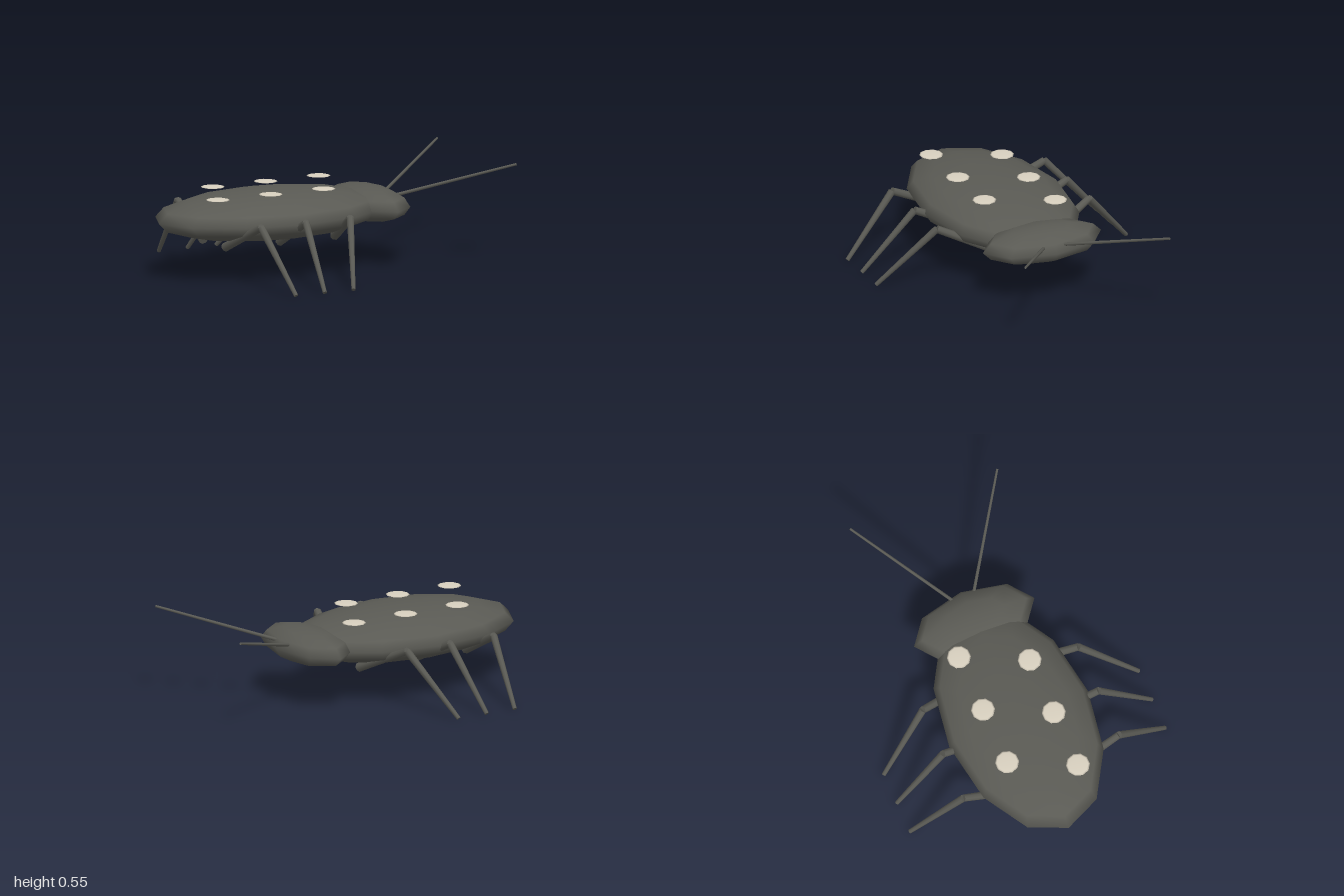
import * as THREE from 'three';

const shell = new THREE.MeshStandardMaterial({ color: 0x5a5a54 });
shell.name = 'charcoal shell';
const cream = new THREE.MeshStandardMaterial({ color: 0xd8d0bf });
cream.name = 'cream spots';

// Ellipsoid from a coarse smooth sphere
function ellipsoid(name, material, center, radii, around, rows) {
  const mesh = new THREE.Mesh(new THREE.SphereGeometry(1, around, rows), material);
  mesh.name = name;
  mesh.scale.set(...radii);
  mesh.position.set(...center);
  return mesh;
}

// Tapered rod between two points
function rod(name, from, to, rFrom, rTo, sides) {
  const a = new THREE.Vector3(...from);
  const b = new THREE.Vector3(...to);
  const dir = b.clone().sub(a);
  const mesh = new THREE.Mesh(new THREE.CylinderGeometry(rTo, rFrom, dir.length(), sides), shell);
  mesh.name = name;
  mesh.position.copy(a).add(b).multiplyScalar(0.5);
  mesh.quaternion.setFromUnitVectors(new THREE.Vector3(0, 1, 0), dir.normalize());
  return mesh;
}

export function createModel() {
  const beetle = new THREE.Group();
  beetle.name = 'beetle';

  // Flattened body and wide head
  beetle.add(ellipsoid('body', shell, [-0.31, 0.322, 0], [0.69, 0.134, 0.412], 12, 8));
  beetle.add(ellipsoid('head', shell, [0.3, 0.325, 0], [0.19, 0.095, 0.358], 8, 6));

  // Two staggered rows of thin spots on the back
  for (const [z, firstX] of [[-0.177, -0.562], [0.172, -0.729]]) {
    for (let i = 0; i < 3; i++) {
      beetle.add(ellipsoid('spot', cream, [firstX + i * 0.332, 0.46, z], [0.066, 0.0045, 0.066], 10, 6));
    }
  }

  // Hip, knee and foot x of each leg pair
  const legs = [
    ['rearLeg', -0.652, -0.62, -0.57],
    ['middleLeg', -0.31, -0.34, -0.39],
    ['frontLeg', 0.035, -0.062, -0.21],
  ];
  for (const side of [1, -1]) {
    for (const [name, hip, knee, foot] of legs) {
      const leg = new THREE.Group();
      leg.name = name;
      const kneePoint = [knee, 0.343, side * 0.462];
      leg.add(rod('upperLeg', [hip, 0.182, side * 0.12], kneePoint, 0.026, 0.021, 8));
      leg.add(rod('lowerLeg', kneePoint, [foot, 0.009, side * 0.758], 0.021, 0.012, 8));
      beetle.add(leg);
    }
    // Long thin antenna
    beetle.add(rod('antenna', [0.44, 0.355, side * 0.055], [0.996, 0.54, side * 0.438], 0.01, 0.007, 6));
  }
  return beetle;
}
